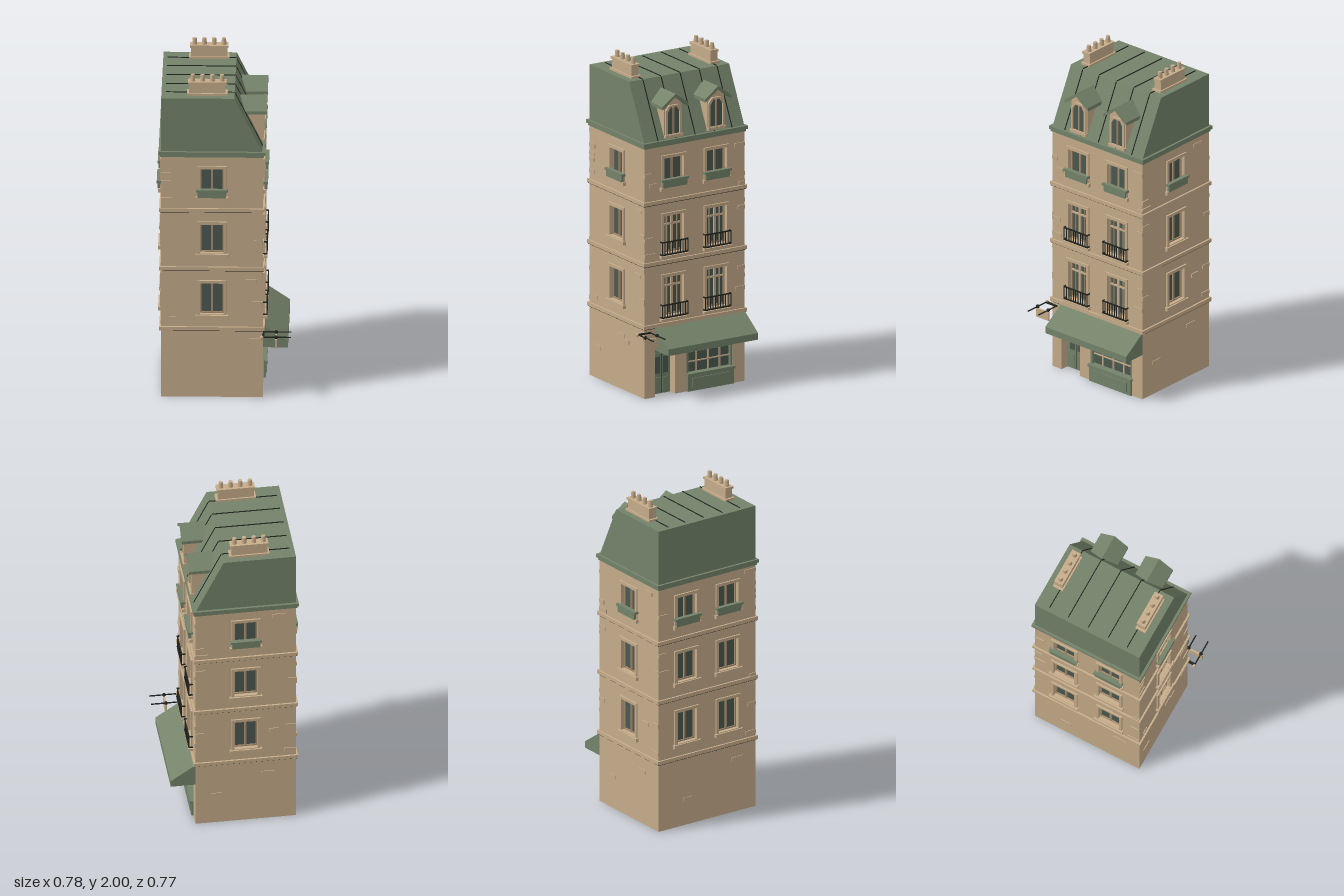
import * as THREE from 'three';

const mat = (name, color, side = THREE.FrontSide) => {
  const m = new THREE.MeshStandardMaterial({ color, side });
  m.name = name;
  return m;
};
const stone = mat('stone', 0xc6ac8a);
const trim = mat('trim', 0xa98f70);
const green = mat('green', 0x74836a);
const glass = mat('glass', 0x4b584f);
const iron = mat('iron', 0x20231f);

// Main dimensions
const X0 = -0.365, X1 = 0.225, Z0 = -0.36, Z1 = 0.33;
const CX = (X0 + X1) / 2, CZ = (Z0 + Z1) / 2, W = X1 - X0, D = Z1 - Z0;
const WALL = 0.03, BASE = 0.43, EAVE = 1.53;

let seed = 11;
const rnd = () => (seed = (seed * 16807) % 2147483647) / 2147483647;

function add(parent, name, geo, material, x = 0, y = 0, z = 0) {
  const m = new THREE.Mesh(geo, material);
  m.name = name;
  m.position.set(x, y, z);
  parent.add(m);
  return m;
}
const box = (p, name, m, w, h, d, x, y, z) => add(p, name, new THREE.BoxGeometry(w, h, d), m, x, y, z);
// Box given by its limits
const span = (p, name, m, x0, x1, y0, y1, z0, z1) =>
  box(p, name, m, x1 - x0, y1 - y0, z1 - z0, (x0 + x1) / 2, (y0 + y1) / 2, (z0 + z1) / 2);
const poly = pts => new THREE.Shape(pts.map(p => new THREE.Vector2(...p)));
const extrude = (shape, depth) => new THREE.ExtrudeGeometry(shape, { depth, bevelEnabled: false });
const rect = (x0, x1, y0, y1) => [[x0, y0], [x1, y0], [x1, y1], [x0, y1]];
function ring(pts, hole, depth) {
  const s = poly(pts);
  s.holes.push(poly(hole));
  return extrude(s, depth);
}

// Window with frame, panes and an optional balcony or planter; outward is +z
function addWindow(parent, u, y0, y1, kind) {
  const g = new THREE.Group();
  g.name = 'window';
  g.position.x = u;
  parent.add(g);
  const h = 0.086, i = 0.068;
  add(g, 'windowFrame', ring(rect(-h, h, y0, y1), rect(-i, i, y0 + 0.018, y1 - 0.018), 0.022), stone, 0, 0, -0.012);
  span(g, 'windowGlass', glass, -0.08, 0.08, y0, y1, -0.03, -0.022);
  add(g, 'casement', ring(rect(-i, i, y0 + 0.018, y1 - 0.018), rect(-0.06, 0.06, y0 + 0.026, y1 - 0.026), 0.008), trim, 0, 0, -0.022);
  span(g, 'mullion', trim, -0.006, 0.006, y0 + 0.018, y1 - 0.018, -0.022, -0.014);
  if (kind !== 'french') span(g, 'sill', stone, -0.095, 0.095, y0 - 0.008, y0 + 0.014, 0, 0.02);
  if (kind === 'planter') {
    span(g, 'planter', green, -0.082, 0.082, y0 + 0.012, y0 + 0.05, 0, 0.024);
    span(g, 'planterRim', green, -0.092, 0.092, y0 + 0.048, y0 + 0.062, 0, 0.028);
  }
  if (kind === 'french') {
    const c = y1 - 0.075;
    span(g, 'crossBar', stone, -0.06, 0.06, c - 0.005, c + 0.005, -0.022, -0.012);
    span(g, 'crossPost', stone, -0.007, 0.007, y0 + 0.02, y1 - 0.02, -0.022, -0.012);
    for (const s of [-1, 1]) box(g, 'glazingBar', trim, 0.006, y1 - y0 - 0.04, 0.008, s * 0.035, (y0 + y1) / 2, -0.018);
    span(g, 'balconySlab', stone, -0.095, 0.095, y0 - 0.012, y0 + 0.004, 0, 0.024);
    for (const y of [y0 + 0.012, y0 + 0.088]) {
      box(g, 'rail', iron, 0.18, 0.007, 0.007, 0, y, 0.022);
      for (const s of [-1, 1]) box(g, 'railReturn', iron, 0.006, 0.007, 0.024, s * 0.088, y, 0.012);
    }
    for (let k = 0; k <= 10; k++) box(g, 'baluster', iron, 0.004, 0.08, 0.004, -0.088 + k * 0.0176, y0 + 0.048, 0.022);
  }
}

// One wall of the three upper floors, with window openings
function addFacade(root, name, width, cols, street, x, z, turn, inset) {
  const g = new THREE.Group();
  g.name = name;
  g.position.set(x, 0, z);
  g.rotation.y = turn;
  root.add(g);
  const floors = street ? [[0.465, 0.735], [0.845, 1.105], [1.25, 1.455]] : [[0.505, 0.735], [0.89, 1.105], [1.25, 1.455]];
  const half = width / 2 - inset;
  const wall = poly(rect(-half, half, BASE, EAVE));
  floors.forEach(([a, b], f) => cols.forEach(u => {
    wall.holes.push(poly(rect(u - 0.07, u + 0.07, a + 0.015, b - 0.015)));
    addWindow(g, u, a, b, f === 2 ? 'planter' : street ? 'french' : 'plain');
  }));
  add(g, 'wall', extrude(wall, WALL), stone, 0, 0, -WALL);
  // Scattered raised bricks
  for (let n = 0; n < 16; n++) {
    const w = 0.04 + rnd() * 0.04, y = 0.47 + rnd() * 1.02;
    const u = n % 2 ? (rnd() < 0.5 ? -1 : 1) * (width / 2 - w / 2) : (rnd() - 0.5) * (width - 0.1);
    if (cols.some(c => Math.abs(c - u) < 0.105 + w / 2)) continue;
    box(g, 'brick', stone, w, 0.024, 0.01, u, y, 0);
  }
}

function addDormer(root, z) {
  const g = new THREE.Group();
  g.name = 'dormer';
  g.position.set(0.217, 0, z);
  g.rotation.y = Math.PI / 2;
  root.add(g);
  add(g, 'dormerBody', extrude(poly([[-0.06, 1.545], [0.06, 1.545], [0.06, 1.755], [0, 1.805], [-0.06, 1.755]]), 0.15), stone, 0, 0, -0.15);
  const roof = [[-0.09, 1.735], [0, 1.803], [0.09, 1.735], [0.09, 1.755], [0, 1.822], [-0.09, 1.755]];
  add(g, 'dormerRoof', extrude(poly(roof), 0.17), green, 0, 0, -0.14);
  const arch = (h, a, b) => [[-h, a], [h, a], [h, b - 0.03], [h * 0.55, b], [-h * 0.55, b], [-h, b - 0.03]];
  add(g, 'dormerFrame', ring(arch(0.055, 1.56, 1.75), arch(0.042, 1.575, 1.738), 0.012), stone);
  add(g, 'dormerGlass', extrude(poly(arch(0.045, 1.57, 1.742)), 0.003), glass);
  span(g, 'dormerMullion', trim, -0.005, 0.005, 1.575, 1.735, 0.002, 0.008);
  span(g, 'dormerSill', stone, -0.062, 0.062, 1.555, 1.572, 0, 0.018);
}

function addChimney(root, z) {
  const g = new THREE.Group();
  g.name = 'chimney';
  g.position.set(-0.098, 0, z);
  root.add(g);
  span(g, 'chimneyFoot', stone, -0.118, 0.118, 1.875, 1.893, -0.033, 0.033);
  span(g, 'chimneyStack', stone, -0.105, 0.105, 1.89, 1.95, -0.024, 0.024);
  span(g, 'chimneyCap', stone, -0.112, 0.112, 1.948, 1.962, -0.028, 0.028);
  for (let k = 0; k < 4; k++) add(g, 'chimneyPot', new THREE.CylinderGeometry(0.012, 0.015, 0.04, 12), stone, -0.085 + k * 0.0567, 1.98, 0);
}

function addShopfront(root) {
  const g = new THREE.Group();
  g.name = 'shopfront';
  root.add(g);
  // Door in its recess
  const dx = X1 - 0.06;
  span(g, 'doorSurround', green, dx, dx + 0.008, 0, 0.29, 0.12, 0.26);
  span(g, 'doorLeaf', green, dx, dx + 0.014, 0.005, 0.245, 0.132, 0.24);
  for (const z of [0.159, 0.213]) {
    box(g, 'doorGlass', glass, 0.006, 0.1, 0.036, dx + 0.014, 0.175, z);
    box(g, 'doorPanel', green, 0.01, 0.08, 0.036, dx + 0.014, 0.06, z);
  }
  box(g, 'doorGap', iron, 0.004, 0.235, 0.004, dx + 0.014, 0.125, 0.186);
  // Display window above a panelled base
  span(g, 'shopBase', green, X1 - 0.03, X1 + 0.012, 0, 0.095, -0.28, 0.04);
  span(g, 'shopBasePanel', green, X1 + 0.01, X1 + 0.017, 0.02, 0.078, -0.25, 0.01);
  span(g, 'shopSill', green, X1 - 0.03, X1 + 0.02, 0.093, 0.108, -0.285, 0.045);
  span(g, 'shopGlass', glass, X1 - 0.03, X1 - 0.024, 0.1, 0.29, -0.28, 0.04);
  for (const z of [-0.273, 0.033]) box(g, 'shopFrame', green, 0.025, 0.19, 0.014, X1 - 0.015, 0.195, z);
  for (const z of [-0.2, -0.12, -0.04]) box(g, 'shopMullion', stone, 0.008, 0.185, 0.008, X1 - 0.021, 0.195, z);
  for (const y of [0.17, 0.23]) box(g, 'shopGlazingBar', stone, 0.008, 0.007, 0.3, X1 - 0.021, y, -0.12);
  // Awning
  const awning = poly([[X1, 0.285], [0.37, 0.285], [0.37, 0.325], [X1, 0.425]]);
  add(g, 'awning', extrude(awning, 0.62), green, 0, 0, -0.36);
  // Hanging sign
  for (const z of [0.295, 0.375]) {
    const rod = add(g, 'signRod', new THREE.CylinderGeometry(0.004, 0.004, 0.16, 8), iron, 0.31, 0.397, z);
    rod.rotation.z = Math.PI / 2;
    add(g, 'signKnob', new THREE.SphereGeometry(0.011, 10, 8), iron, 0.303, 0.397, z);
  }
  box(g, 'signBoard', stone, 0.01, 0.055, 0.098, 0.303, 0.358, 0.337);
  add(g, 'signLamp', new THREE.SphereGeometry(0.011, 12, 8), stone, 0.22, 0.395, 0.375);
  span(g, 'signBracket', iron, 0.22, 0.235, 0.393, 0.401, 0.29, 0.375);
}

export function createModel() {
  const root = new THREE.Group();
  root.name = 'townhouse';

  // Ground floor, notched for the door and display window
  const plan = [[X0, Z1], [X1, Z1], [X1, 0.26], [X1 - 0.06, 0.26], [X1 - 0.06, 0.12], [X1, 0.12], [X1, 0.04],
    [X1 - 0.03, 0.04], [X1 - 0.03, -0.28], [X1, -0.28], [X1, Z0], [X0, Z0]].map(([x, z]) => [x, -z]);
  add(root, 'groundFloor', extrude(poly(plan), 0.29).rotateX(-Math.PI / 2), stone);
  span(root, 'groundFloorTop', stone, X0, X1, 0.29, BASE, Z0, Z1);
  for (const [x, y, z, w, d] of [[-0.02, 0.325, Z1, 0.06, 0.008], [0.02, 0.3, Z1, 0.08, 0.008], [-0.28, 0.19, Z1, 0.07, 0.008],
    [0.18, 0.36, Z1, 0.07, 0.008], [-0.2, 0.33, Z0, 0.08, 0.008], [0.1, 0.2, Z0, 0.07, 0.008],
    [X0, 0.33, 0.2, 0.008, 0.08], [X0, 0.16, -0.15, 0.008, 0.07]]) box(root, 'brick', stone, w, 0.024, d, x, y, z);
  addShopfront(root);

  // Upper walls
  addFacade(root, 'streetWall', D, [-0.148, 0.148], true, X1, CZ, Math.PI / 2, 0);
  addFacade(root, 'rearWall', D, [-0.148, 0.148], false, X0, CZ, -Math.PI / 2, 0);
  addFacade(root, 'sideWall', W, [0], false, CX, Z1, 0, WALL);
  addFacade(root, 'sideWall', W, [0], false, CX, Z0, Math.PI, WALL);

  // Floor ledges with a dark shadow joint
  for (const y of [0.432, 0.81, 1.178]) {
    box(root, 'ledge', stone, W + 0.022, 0.022, D + 0.022, CX, y, CZ);
    box(root, 'ledgeJoint', iron, W + 0.012, 0.005, D + 0.012, CX, y - 0.013, CZ);
  }

  // Cornice and mansard roof
  box(root, 'corniceLower', green, W + 0.014, 0.016, D + 0.014, CX, 1.52, CZ);
  box(root, 'corniceUpper', green, W + 0.03, 0.02, D + 0.03, CX, 1.537, CZ);
  add(root, 'mansardRoof', extrude(poly([[X0, 1.54], [X1, 1.54], [0.06, 1.88], [X0, 1.88]]), D), green, 0, 0, Z0);
  for (const z of [-0.275, -0.152, -0.02, 0.112, 0.237]) {
    span(root, 'roofSeam', iron, -0.34, 0.06, 1.878, 1.884, z - 0.0025, z + 0.0025);
    const s = box(root, 'slopeSeam', iron, 0.37, 0.006, 0.005, 0.1425, 1.711, z);
    s.rotation.z = Math.atan2(-0.34, 0.165);
  }
  for (const z of [-0.165, 0.13]) addDormer(root, z);
  for (const z of [-0.289, 0.256]) addChimney(root, z);
  return root;
}
